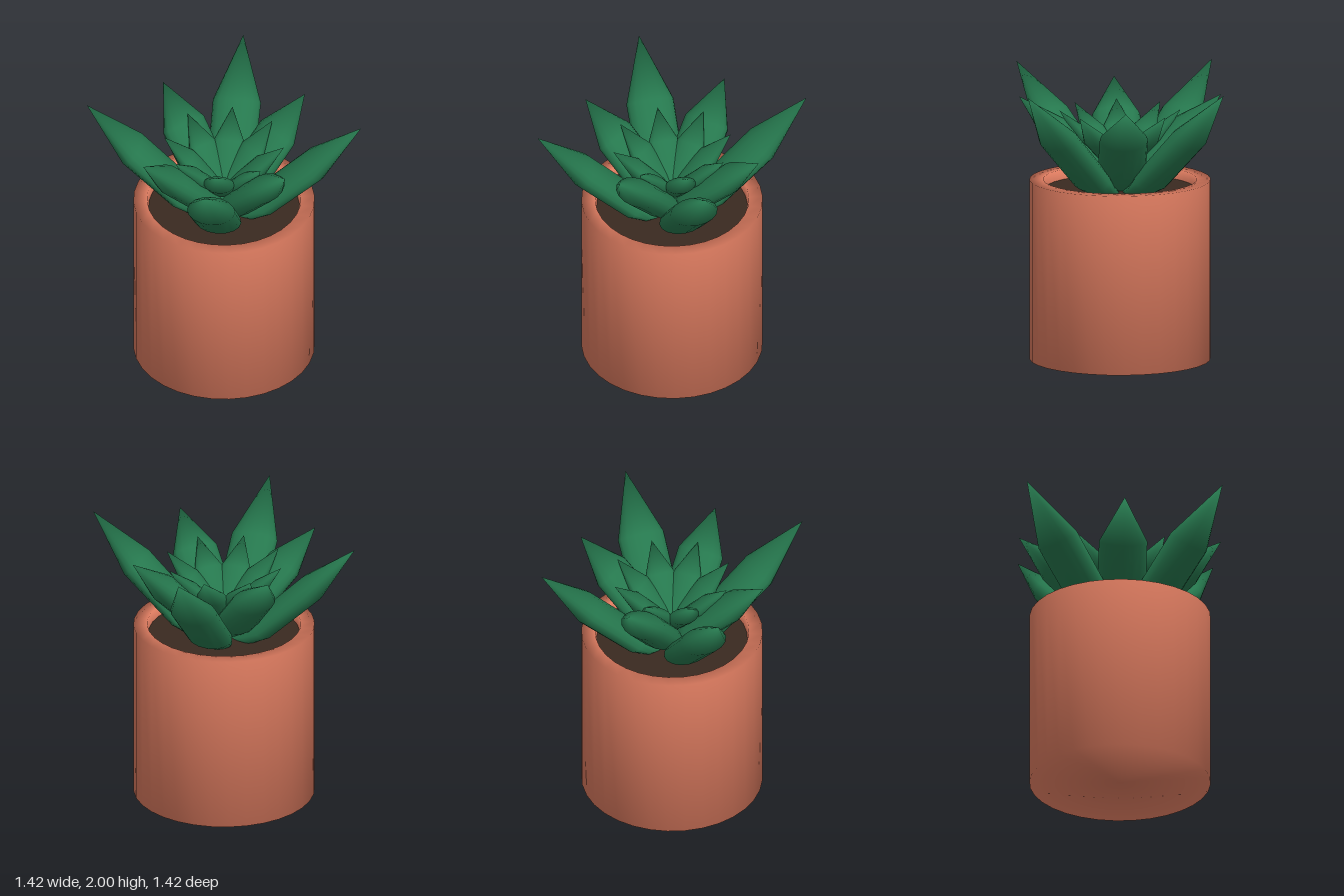
import * as THREE from 'three';
import { mergeVertices } from 'three/addons/utils/BufferGeometryUtils.js';

const V = (x, y) => new THREE.Vector2(x, y);
const material = (color) => new THREE.MeshStandardMaterial({ color });

// Fleshy leaf pointing along +z, skinned through closed lens-shaped rings.
// Each ring is [distance from centre, height, half width, belly depth, dome height].
function leafGeometry(rings) {
  const sides = 16;
  const pos = [], index = [];
  for (const [r, y, w, belly, dome] of rings) {
    for (let j = 0; j < sides; j++) {
      const a = 2 * Math.PI * j / sides, s = Math.sin(a);
      const drop = s * (s > 0 ? belly : dome) * Math.SQRT1_2;
      pos.push(-w * Math.cos(a), y - drop, r + drop);
    }
  }
  for (let i = 0; i < rings.length - 1; i++) {
    for (let j = 0; j < sides; j++) {
      const a = i * sides + j, b = i * sides + (j + 1) % sides;
      index.push(a, b, b + sides, a, b + sides, a + sides);
    }
  }
  const g = new THREE.BufferGeometry();
  g.setAttribute('position', new THREE.Float32BufferAttribute(pos, 3));
  g.setIndex(index);
  const merged = mergeVertices(g); // joins the tip into one point
  merged.computeVertexNormals();
  return merged;
}

export function createModel() {
  const model = new THREE.Group();
  const add = (name, geometry, mat, parent = model) => {
    const mesh = new THREE.Mesh(geometry, mat);
    mesh.name = name;
    parent.add(mesh);
    return mesh;
  };

  // Pot: closed base, straight wall, flat rim and a short inner lip
  const profile = [V(0, 0), V(0.637, 0), V(0.637, 1.28), V(0.54, 1.28), V(0.53, 1.2)];
  add('pot', new THREE.LatheGeometry(profile, 32), material(0xe07d61));

  // Soil
  const soil = add('soil', new THREE.CircleGeometry(0.535, 32), material(0x3a2a20));
  soil.rotation.x = -Math.PI / 2;
  soil.position.y = 1.21;

  // Leaf tiers: four large diagonal, four medium, eight small in the middle
  const green = material(0x26784e);
  const tiers = [
    { name: 'outerLeaf', count: 4, turn: Math.PI / 4, rings: [
      [0.08, 1.19, 0.07, 0.02, 0.03], [0.2, 1.23, 0.13, 0.06, 0.07], [0.3, 1.31, 0.165, 0.09, 0.1],
      [0.65, 1.656, 0.17, 0.1, 0.1], [0.972, 2, 0, 0, 0]] },
    { name: 'middleLeaf', count: 4, turn: 0, rings: [
      [0.02, 1.2, 0.06, 0.02, 0.03], [0.12, 1.3, 0.15, 0.07, 0.08], [0.2, 1.38, 0.17, 0.1, 0.1],
      [0.47, 1.65, 0.17, 0.1, 0.1], [0.71, 1.88, 0, 0, 0]] },
    { name: 'innerLeaf', count: 8, turn: 0, rings: [
      [0, 1.35, 0.02, 0.02, 0.01], [0.08, 1.43, 0.09, 0.06, 0.04],
      [0.25, 1.6, 0.11, 0.07, 0.05], [0.425, 1.775, 0, 0, 0]] },
  ];
  for (const { name, count, turn, rings } of tiers) {
    const geometry = leafGeometry(rings);
    const tier = new THREE.Group();
    tier.name = name + 'Tier';
    for (let i = 0; i < count; i++) {
      add(name, geometry, green, tier).rotation.y = turn + i * 2 * Math.PI / count;
    }
    model.add(tier);
  }
  return model;
}
